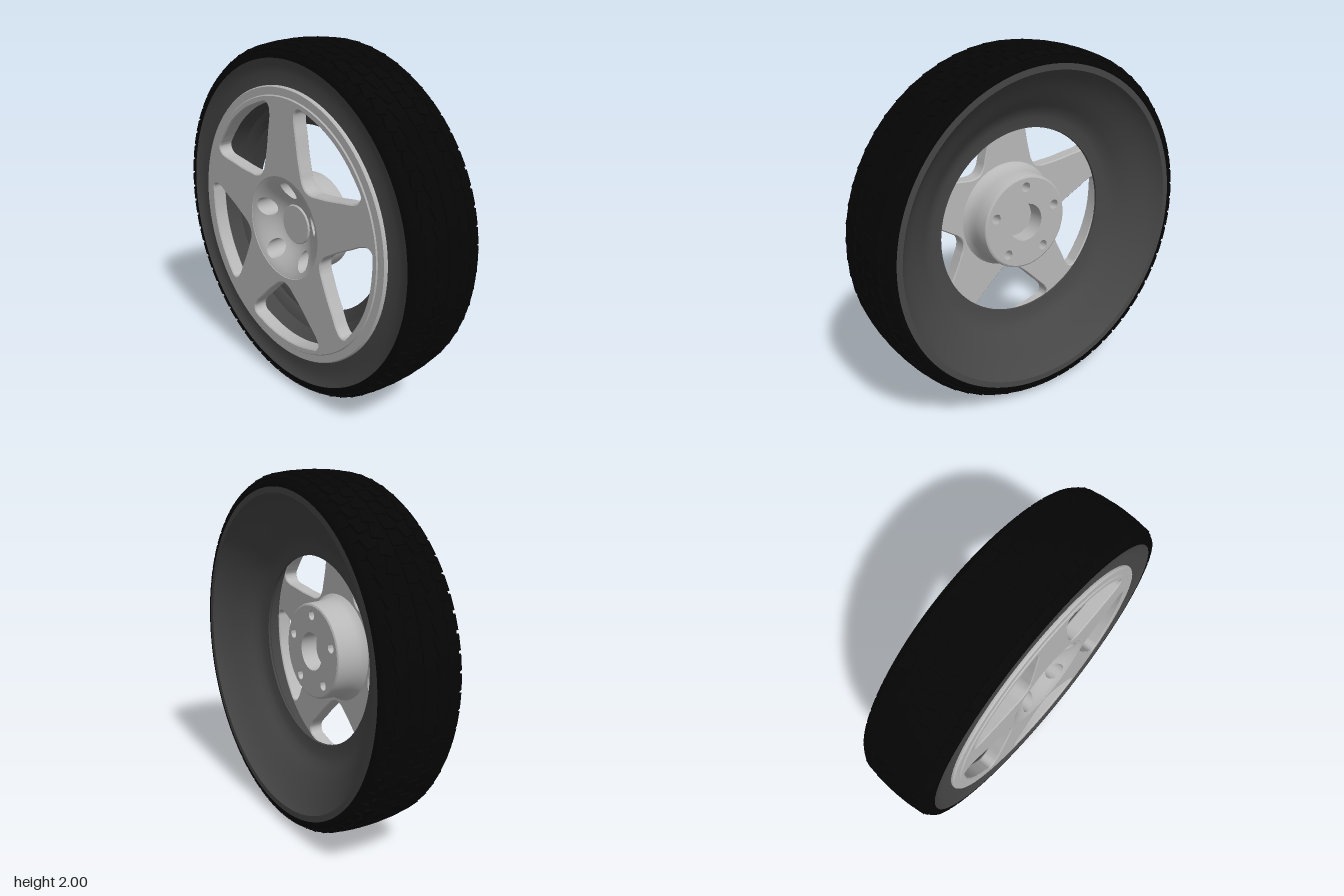
import * as THREE from 'three';
import { mergeGeometries, toCreasedNormals } from 'three/addons/utils/BufferGeometryUtils.js';
import { ParametricGeometry } from 'three/addons/geometries/ParametricGeometry.js';

const TAU = Math.PI * 2;
const paint = (name, color) => {
  const m = new THREE.MeshStandardMaterial({ color });
  m.name = name;
  return m;
};

// Surface of revolution about z from [radius, z] pairs
function turned(points, segments = 96, crease = 0.6) {
  const g = new THREE.LatheGeometry(points.map(p => new THREE.Vector2(...p)), segments);
  g.rotateX(Math.PI / 2);
  return toCreasedNormals(g, crease);
}

const circle = (r, x = 0, y = 0) => new THREE.Path().absarc(x, y, r, 0, TAU, true);
const disc = r => new THREE.Shape().absarc(0, 0, r, 0, TAU, false);

// Lug positions and the profile of the dished hub
const LUG_R = 0.21, WELL_R = 0.055, DISH_IN = 0.113, DISH_OUT = 0.292;
const lugAngles = Array.from({ length: 5 }, (_, i) => Math.PI / 2 + i * TAU / 5);
const lugs = lugAngles.map(a => [LUG_R * Math.cos(a), LUG_R * Math.sin(a)]);
const dishZ = r => {
  const t = (r - DISH_IN) / (DISH_OUT - DISH_IN);
  return 0.14 + 0.095 * (0.5 * t + 0.5 * t * t * (3 - 2 * t));
};

// Rounded window between two spokes, as [distance from hub, half width]
function windowPath(angle) {
  const half = [[0.33, 0], [0.345, 0.045], [0.375, 0.082], [0.43, 0.145], [0.5, 0.215], [0.56, 0.275],
    [0.598, 0.295], [0.63, 0.285], [0.647, 0.245], [0.666, 0.18], [0.683, 0.1], [0.69, 0]];
  const mirrored = half.slice(1, -1).reverse().map(([a, w]) => [a, -w]);
  const c = Math.cos(angle), s = Math.sin(angle);
  const pts = [...half, ...mirrored].map(([a, w]) => new THREE.Vector3(a * c - w * s, a * s + w * c, 0));
  const curve = new THREE.CatmullRomCurve3(pts, true);
  return new THREE.Path(curve.getSpacedPoints(150).slice(0, -1).map(p => new THREE.Vector2(p.x, p.y)));
}

// Five-spoke face plate with finely chamfered windows
function spokeFace() {
  const shape = disc(0.727);
  shape.holes.push(circle(0.286));
  for (let i = 0; i < 5; i++) shape.holes.push(windowPath(-Math.PI / 2 + i * TAU / 5));
  const b = 0.006;
  const g = new THREE.ExtrudeGeometry(shape, {
    depth: 0.073, bevelEnabled: true, bevelSize: b, bevelThickness: b, bevelOffset: -b,
    bevelSegments: 1, curveSegments: 96,
  });
  g.translate(0, 0, 0.237 - 0.073 - b);
  return toCreasedNormals(g, 0.4);
}

// One fifth of the hub dish: a sheet from the sector's outline in to its lug well
function dishSector(angle) {
  const h = TAU / 10;
  const edges = [
    t => [DISH_OUT, -h + 2 * h * t],
    t => [DISH_OUT + (DISH_IN - DISH_OUT) * t, h],
    t => [DISH_IN, h - 2 * h * t],
    t => [DISH_IN + (DISH_OUT - DISH_IN) * t, -h],
  ];
  const g = new ParametricGeometry((u, v, target) => {
    const k = Math.min(3, Math.floor(u * 4));
    const [r, a] = edges[k](u * 4 - k);
    const bx = r * Math.cos(a), by = r * Math.sin(a);
    const d = Math.atan2(by, bx - LUG_R);
    const x = THREE.MathUtils.lerp(bx, LUG_R + WELL_R * Math.cos(d), v);
    const y = THREE.MathUtils.lerp(by, WELL_R * Math.sin(d), v);
    target.set(x, y, dishZ(Math.hypot(x, y)));
  }, 64, 6);
  g.rotateZ(angle);
  return g;
}

// Stepped lug well whose mouth follows the dish
function lugWell(x, y) {
  const g = turned([[WELL_R, 0.5], [WELL_R, 0.085], [0.042, 0.08], [0.03, 0.06], [0.028, -0.02]], 32);
  g.translate(x, y, 0);
  const p = g.attributes.position;
  for (let i = 0; i < p.count; i++) {
    if (p.getZ(i) > 0.4) p.setZ(i, dishZ(Math.hypot(p.getX(i), p.getY(i))));
  }
  return g;
}

// Flat mounting face at the back of the hub
function mountingFace() {
  const shape = disc(0.262);
  shape.holes.push(circle(0.11));
  lugs.forEach(([x, y]) => shape.holes.push(circle(0.028, x, y)));
  const g = new THREE.ShapeGeometry(shape, 48);
  g.rotateY(Math.PI);
  g.translate(0, 0, -0.02);
  return g;
}

// Rows of slanted tread blocks
function treadBlocks() {
  const rows = [[0, 1.0, 0.066, 0], [0.08, 0.997, 0.064, 0.3], [0.153, 0.989, 0.056, -0.25]];
  const parts = [], count = 64;
  rows.forEach(([z, top, width, slant], k) => {
    for (const side of z ? [-1, 1] : [1]) {
      for (let i = 0; i < count; i++) {
        const g = new THREE.BoxGeometry(0.084, 0.03, width);
        g.rotateY(slant * side);
        g.rotateX(z * side * 0.7);
        g.translate(0, top - 0.015, z * side);
        g.rotateZ((i + (k % 2) * 0.5) * TAU / count);
        parts.push(g);
      }
    }
  });
  // Shoulder lugs
  for (const side of [-1, 1]) {
    for (let i = 0; i < count; i++) {
      const g = new THREE.BoxGeometry(0.078, 0.02, 0.036);
      g.rotateX(side * 0.6);
      g.translate(0, 0.963, 0.201 * side);
      g.rotateZ((i + 0.5) * TAU / count);
      parts.push(g);
    }
  }
  return mergeGeometries(parts);
}

export function createModel() {
  const treadBlack = paint('treadBlack', 0x050505);
  const darkGrey = paint('darkGrey', 0x464646);
  const alloyGrey = paint('alloyGrey', 0xb8b8b8);

  const model = new THREE.Group();
  model.name = 'wheel';
  const wheel = new THREE.Group();
  wheel.name = 'wheelAssembly';
  wheel.position.y = 1;
  model.add(wheel);
  const add = (name, geometry, material) => {
    const mesh = new THREE.Mesh(geometry, material);
    mesh.name = name;
    wheel.add(mesh);
  };

  // Tyre
  add('tyreTread', turned([[0.915, -0.235], [0.935, -0.233], [0.953, -0.22], [0.968, -0.19], [0.985, -0.12],
    [0.992, 0], [0.985, 0.12], [0.968, 0.19], [0.953, 0.216], [0.935, 0.228], [0.915, 0.229]], 128), treadBlack);
  add('treadBlocks', treadBlocks(), treadBlack);
  add('frontSidewall', turned([[0.915, 0.229], [0.9, 0.222], [0.875, 0.212], [0.84, 0.208],
    [0.8, 0.21], [0.77, 0.213]], 128), darkGrey);

  // Barrel, from behind the spokes out to the rear edge
  add('rimBarrel', turned([[0.74, 0.19], [0.705, 0.17], [0.69, 0.12], [0.67, 0.07], [0.625, 0.05],
    [0.61, 0.03], [0.56, 0.02], [0.54, 0.005], [0.542, -0.006], [0.6, -0.014], [0.635, -0.028],
    [0.67, -0.055], [0.7, -0.08], [0.74, -0.11], [0.79, -0.146], [0.84, -0.186], [0.87, -0.218], [0.882, -0.234],
    [0.915, -0.235]], 128), darkGrey);

  // Rim and spokes
  add('rimLip', turned([[0.775, 0.19], [0.775, 0.222], [0.768, 0.231], [0.727, 0.231], [0.727, 0.185]], 128), alloyGrey);
  add('spokes', spokeFace(), alloyGrey);

  // Hub
  add('hubDish', mergeGeometries(lugAngles.map(dishSector)), alloyGrey);
  add('hubCap', turned([[0.112, 0.12], [0.112, 0.146], [0.108, 0.15], [0, 0.15]], 64), alloyGrey);
  add('hubDrum', turned([[0.262, -0.02], [0.271, -0.015], [0.275, -0.004], [0.278, 0.07], [0.284, 0.11],
    [0.296, 0.138], [0.318, 0.158]]), alloyGrey);
  add('mountingFace', mountingFace(), alloyGrey);
  add('centreBore', turned([[0, 0.08], [0.11, 0.08], [0.11, -0.02]], 64), alloyGrey);
  lugs.forEach(([x, y]) => add('lugWell', lugWell(x, y), alloyGrey));

  return model;
}
